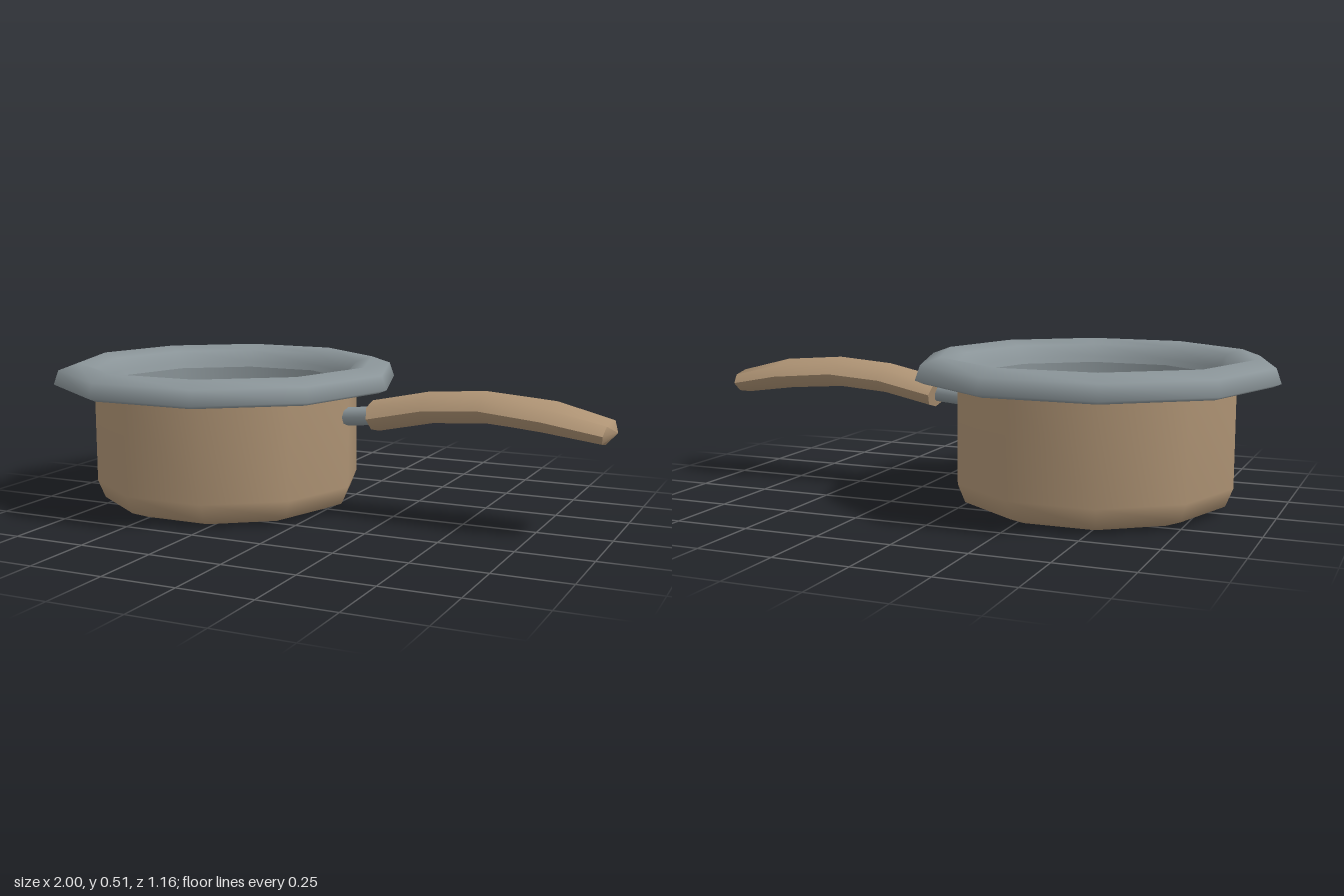
import * as THREE from 'three';
import { toCreasedNormals } from 'three/addons/utils/BufferGeometryUtils.js';

const POT_X = -0.39;
const SIDES = 10;
const brown = new THREE.MeshStandardMaterial({ color: 0xae9374 });
const steel = new THREE.MeshStandardMaterial({ color: 0x8a9498 });

// Ten-sided turned part, with a corner pointing along +x
function turned(name, profile, material) {
  const points = profile.map(([r, y]) => new THREE.Vector2(r, y));
  const mesh = new THREE.Mesh(new THREE.LatheGeometry(points, SIDES, Math.PI / 2), material);
  mesh.name = name;
  mesh.position.x = POT_X;
  return mesh;
}

// Eight-sided grip: each ring is given by its top point, bottom point and half width
function gripGeometry() {
  const rings = [
    [0.17, 0.40, 0.195, 0.297, 0.09],
    [0.37, 0.442, 0.385, 0.337, 0.09],
    [0.57, 0.457, 0.57, 0.35, 0.096],
    [0.79, 0.44, 0.775, 0.335, 0.12],
    [0.98, 0.392, 0.962, 0.31, 0.09],
  ];
  const last = rings.length - 1;
  const geometry = new THREE.CylinderGeometry(1, 1, 1, 8, last);
  const pos = geometry.attributes.position;
  for (let i = 0; i < pos.count; i++) {
    const x = pos.getX(i), y = pos.getY(i), z = pos.getZ(i);
    const ring = Math.round((y + 0.5) * last);
    const [tx, ty, bx, by, half] = rings[ring];
    const t = (1 - x) / 2;
    const atTip = ring === last && Math.hypot(x, z) < 0.01;
    pos.setXYZ(i, atTip ? 1.0 : bx + (tx - bx) * t, by + (ty - by) * t, z * half);
  }
  return toCreasedNormals(geometry, 0.95);
}

export function createModel() {
  const model = new THREE.Group();
  model.name = 'saucepan';

  // Outer wall, base and the underside of the rim
  model.add(turned('potBody', [[0, 0.003], [0.378, 0.003], [0.445, 0.028], [0.47, 0.09], [0.47, 0.43]], brown));
  model.add(turned('rimUnderside', [[0.468, 0.43], [0.582, 0.425]], brown));

  // Rolled rim
  model.add(turned('rim', [
    [0.582, 0.425], [0.61, 0.437], [0.593, 0.486], [0.527, 0.51],
    [0.468, 0.492], [0.445, 0.45], [0.435, 0.43],
  ], steel));

  // Inner wall and floor
  model.add(turned('innerWall', [[0.435, 0.43], [0.435, 0.09], [0.43, 0.04]], steel));
  model.add(turned('innerFloor', [[0.43, 0.04], [0, 0.04]], steel));

  // Metal stub joining pot and grip
  const stub = new THREE.Mesh(new THREE.CylinderGeometry(0.032, 0.032, 0.16, 8), steel);
  stub.name = 'handleStub';
  stub.position.set(0.14, 0.344, 0);
  stub.rotation.z = -Math.PI / 2 + 0.09;
  model.add(stub);

  const grip = new THREE.Mesh(gripGeometry(), brown);
  grip.name = 'handleGrip';
  model.add(grip);

  return model;
}
